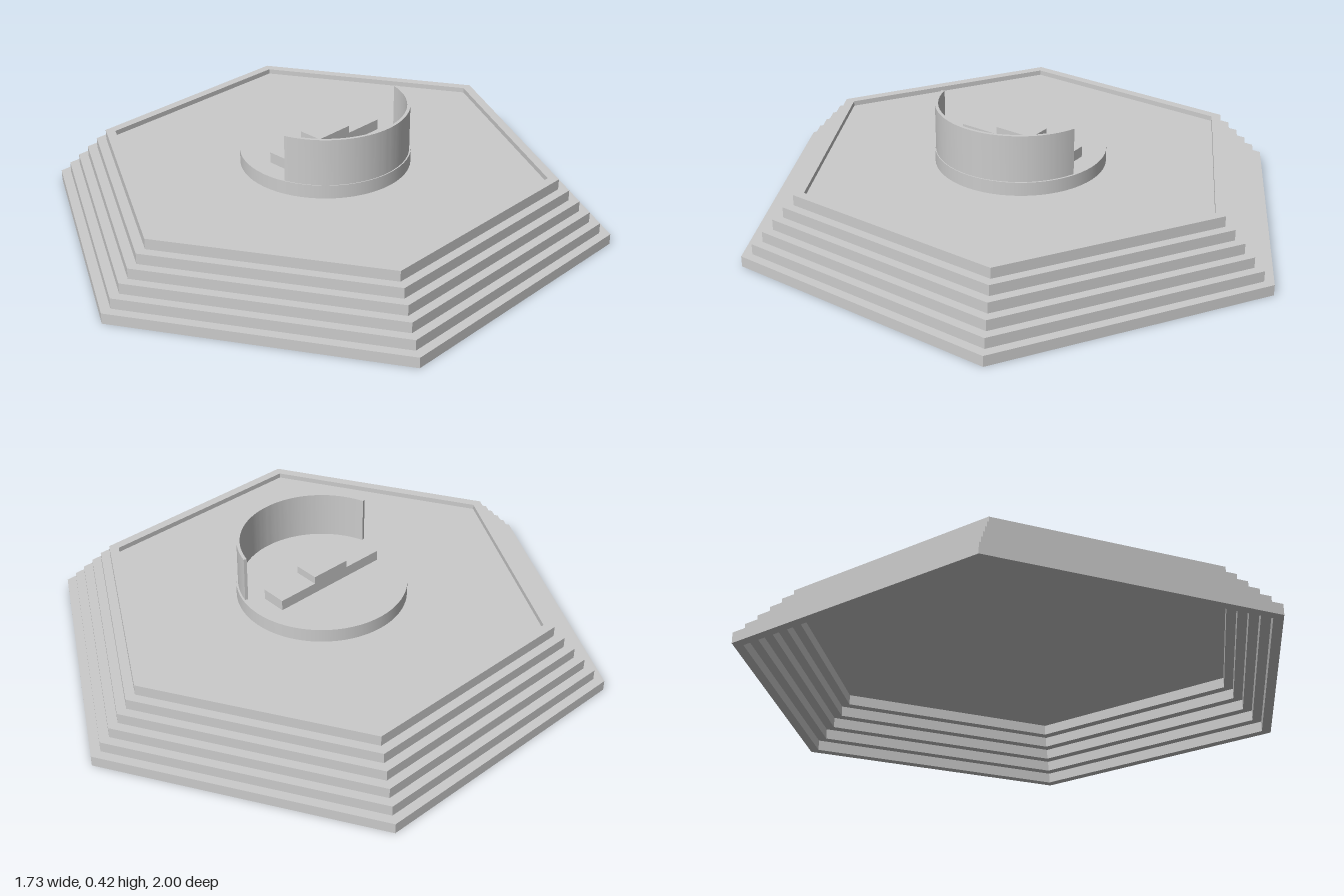
import * as THREE from 'three';
import { toCreasedNormals } from 'three/addons/utils/BufferGeometryUtils.js';

const STEPS = 6;
const STEP = 0.0375; // rise and tread of every step
const FLOOR_BOTTOM = STEP * (STEPS - 1);
const FLOOR_TOP = 0.207;
const DISC_TOP = 0.255;

const material = new THREE.MeshStandardMaterial({ color: 0xcccccc });

// Corners of a hexagon with points towards front and back
function hexPoints(radius) {
  return Array.from({ length: 6 }, (_, i) => {
    const a = Math.PI / 2 + (i * Math.PI) / 3;
    return new THREE.Vector2(Math.cos(a) * radius, Math.sin(a) * radius);
  });
}

// Extrudes a plan shape upwards
function raise(shape, height) {
  const geometry = new THREE.ExtrudeGeometry(shape, { depth: height, bevelEnabled: false, curveSegments: 48 });
  return geometry.rotateX(-Math.PI / 2);
}

function add(parent, name, geometry, x, y, z) {
  const mesh = new THREE.Mesh(geometry, material);
  mesh.name = name;
  mesh.position.set(x, y, z);
  parent.add(mesh);
  return mesh;
}

export function createModel() {
  const model = new THREE.Group();
  model.name = 'steppedPlatform';

  // Hollow base: stacked hexagonal rings, open underneath
  const base = new THREE.Group();
  base.name = 'steppedBase';
  model.add(base);
  for (let i = 0; i < STEPS; i++) {
    const outer = 1 - i * STEP;
    const shape = new THREE.Shape(hexPoints(outer));
    shape.holes.push(new THREE.Path(hexPoints(outer - STEP)));
    add(base, `step${i + 1}`, raise(shape, STEP), 0, i * STEP, 0);
  }

  // Floor sunk slightly below the rim of the top step
  const floor = new THREE.Shape(hexPoints(1 - STEPS * STEP));
  add(model, 'floor', raise(floor, FLOOR_TOP - FLOOR_BOTTOM), 0, FLOOR_BOTTOM, 0);

  // Round dais in the middle
  const discHeight = DISC_TOP - FLOOR_TOP;
  const disc = new THREE.CylinderGeometry(0.297, 0.297, discHeight, 64);
  add(model, 'dais', disc, 0, FLOOR_TOP + discHeight / 2, -0.005);

  // Curved screen along the left edge of the dais
  const sweep = THREE.MathUtils.degToRad(74);
  const arc = new THREE.Shape();
  arc.absarc(0, 0, 0.291, -sweep, sweep, false);
  arc.absarc(0, 0, 0.28, sweep, -sweep, true);
  arc.closePath();
  const screen = toCreasedNormals(raise(arc, 0.42 - FLOOR_TOP), 0.6);
  add(model, 'curvedScreen', screen, 0.002, FLOOR_TOP, -0.003);

  // Low bench with a raised block on its middle third
  const bench = new THREE.Group();
  bench.name = 'bench';
  bench.position.set(-0.002, DISC_TOP, -0.006);
  model.add(bench);
  add(bench, 'benchSlab', new THREE.BoxGeometry(0.09, 0.038, 0.445), 0, 0.019, 0);
  add(bench, 'benchBlock', new THREE.BoxGeometry(0.09, 0.027, 0.148), 0, 0.0515, 0);

  return model;
}
